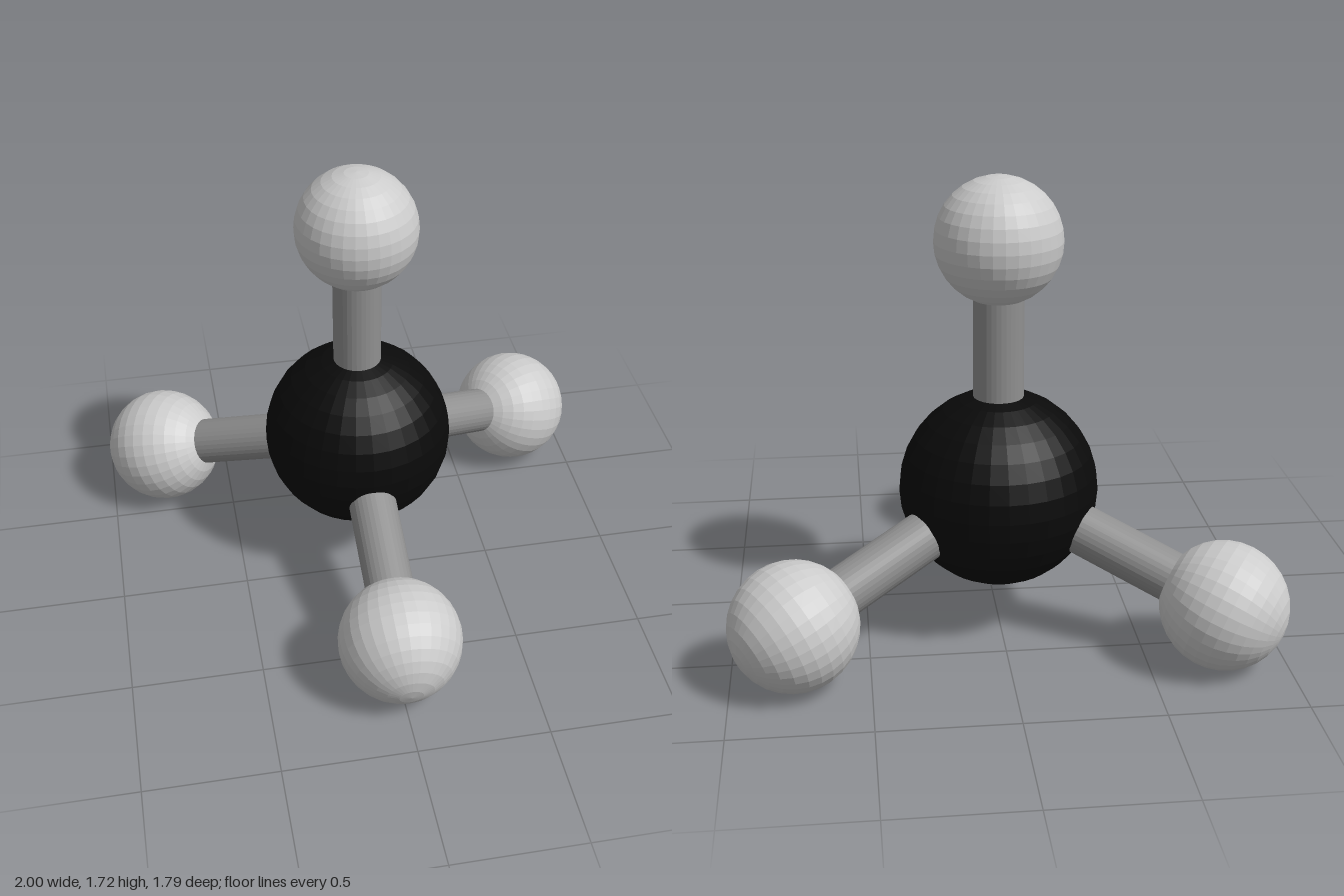
import * as THREE from 'three';

const CORE_RADIUS = 0.37, BALL_RADIUS = 0.233, ROD_RADIUS = 0.093, REACH = 0.939;

export function createModel() {
  const model = new THREE.Group();
  model.name = 'ballAndStickTetrahedron';
  const grey = new THREE.MeshStandardMaterial({ color: 0xcccccc, flatShading: true });
  const rodGrey = new THREE.MeshStandardMaterial({ color: 0x909090, flatShading: true });
  const black = new THREE.MeshStandardMaterial({ color: 0x0a0a0a, flatShading: true });

  // Central ball
  const centre = new THREE.Group();
  centre.position.set(0, BALL_RADIUS + REACH / 3, -0.2215);
  const core = new THREE.Mesh(new THREE.SphereGeometry(CORE_RADIUS, 32, 16), black);
  core.name = 'centralBall';
  centre.name = 'molecule';
  centre.add(core);
  model.add(centre);

  // Shared geometry, with every arm pointing along its own +y
  const rodGeometry = new THREE.CylinderGeometry(ROD_RADIUS, ROD_RADIUS, REACH, 32);
  rodGeometry.translate(0, REACH / 2, 0);
  const ballGeometry = new THREE.SphereGeometry(BALL_RADIUS, 32, 16);

  function addArm(name, turn, tilt) {
    const arm = new THREE.Group();
    arm.name = name;
    const rod = new THREE.Mesh(rodGeometry, rodGrey);
    rod.name = 'rod';
    const ball = new THREE.Mesh(ballGeometry, grey);
    ball.name = 'outerBall';
    ball.position.y = REACH;
    arm.add(rod, ball);
    arm.rotation.set(tilt, turn, 0, 'YXZ');
    centre.add(arm);
  }

  // One upright arm and three spread evenly below it
  const tetrahedralAngle = Math.acos(-1 / 3);
  addArm('topArm', 0, 0);
  ['frontArm', 'backLeftArm', 'backRightArm'].forEach((name, i) =>
    addArm(name, (i * Math.PI * 2) / 3, tetrahedralAngle));

  return model;
}
